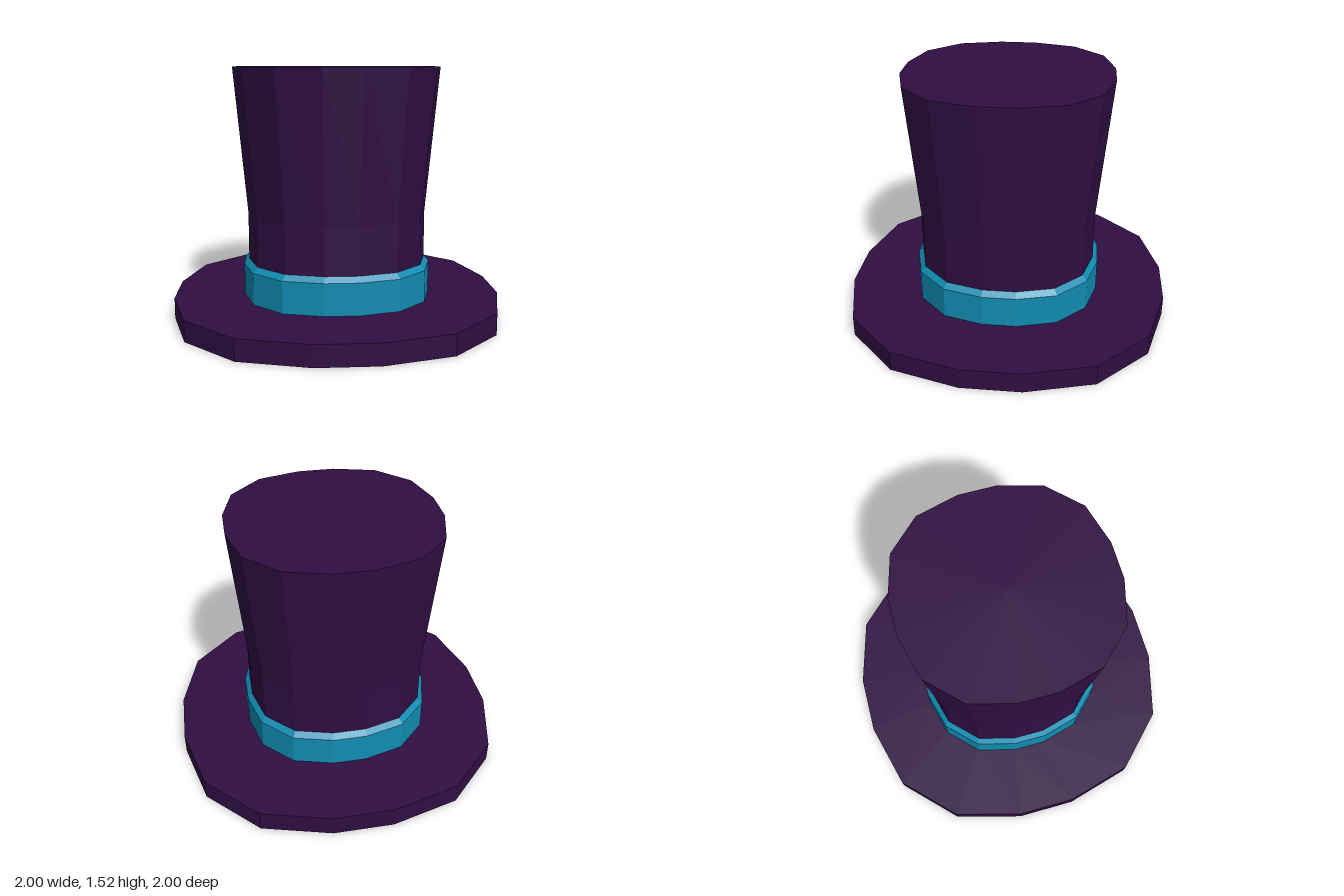
import * as THREE from 'three';

// One quadrant of the 16-sided outline as [x, z], turned four times
const quadrant = [[0.18, 1], [0.59, 0.89], [0.89, 0.59], [1, 0.18]];
const outline = [];
let corners = quadrant;
for (let q = 0; q < 4; q++) {
  outline.push(...corners);
  corners = corners.map(([x, z]) => [z, -x]);
}

// Lathe a [radius, y] profile, then move each column onto the outline
function latheOnOutline(name, profile, material) {
  const points = profile.map(([r, y]) => new THREE.Vector2(r, y));
  const sides = outline.length;
  const lathe = new THREE.LatheGeometry(points, sides);
  const pos = lathe.attributes.position;
  for (let i = 0; i <= sides; i++) {
    const [x, z] = outline[i % sides];
    profile.forEach(([r, y], j) => pos.setXYZ(i * profile.length + j, x * r, y, z * r));
  }
  const geometry = lathe.toNonIndexed();
  geometry.computeVertexNormals();
  const mesh = new THREE.Mesh(geometry, material);
  mesh.name = name;
  return mesh;
}

export function createModel() {
  const felt = new THREE.MeshStandardMaterial({ color: 0x300e43, flatShading: true });
  felt.name = 'purple felt';
  const ribbon = new THREE.MeshStandardMaterial({ color: 0x118cb2, flatShading: true });
  ribbon.name = 'teal ribbon';

  const hat = new THREE.Group();
  hat.name = 'topHat';
  hat.add(
    // Flat brim with a closed underside
    latheOnOutline('brim', [[0, 0], [1, 0], [1, 0.127], [0.57, 0.127]], felt),
    // Band with a bevelled upper edge
    latheOnOutline('band', [[0.575, 0.127], [0.575, 0.32], [0.545, 0.352]], ribbon),
    // Crown, straight at first and then flaring to a flat top
    latheOnOutline('crown', [[0.545, 0.352], [0.545, 0.64], [0.625, 1.525], [0, 1.525]], felt),
  );
  return hat;
}
